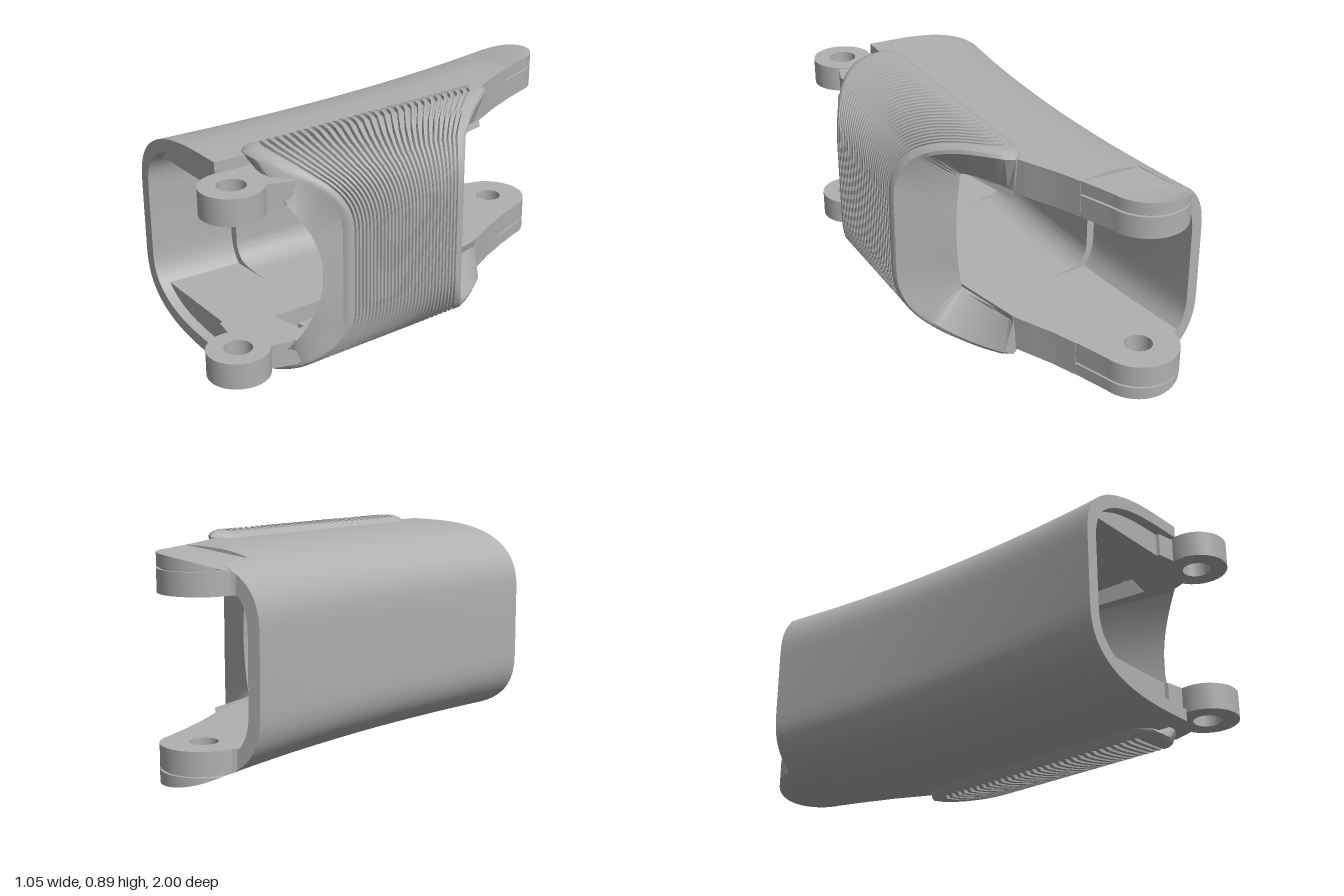
import * as THREE from 'three';
import { toCreasedNormals } from 'three/addons/utils/BufferGeometryUtils.js';

const grey = new THREE.MeshStandardMaterial({ color: 0xb0b0b0, side: THREE.DoubleSide });
grey.name = 'plain grey';

const MID = 0.45; // height of the mirror plane

// Piecewise-linear lookup in a list of [key, value] pairs with rising keys
function lookup(list, k) {
  if (k <= list[0][0]) return list[0][1];
  for (let i = 1; i < list.length; i++) {
    const [k0, v0] = list[i - 1], [k1, v1] = list[i];
    if (k <= k1) return v0 + (v1 - v0) * (k - k0) / (k1 - k0);
  }
  return list[list.length - 1][1];
}

// Skin over rows of points, optionally closed along or across the rows
function skin(rows, closeRow, closeRows) {
  const n = rows[0].length, m = rows.length, idx = [];
  for (let i = 0; i < (closeRows ? m : m - 1); i++) {
    for (let j = 0; j < (closeRow ? n : n - 1); j++) {
      const i2 = (i + 1) % m, j2 = (j + 1) % n;
      const a = i * n + j, b = i2 * n + j, c = i * n + j2, d = i2 * n + j2;
      idx.push(a, b, c, b, d, c);
    }
  }
  const g = new THREE.BufferGeometry();
  g.setAttribute('position', new THREE.Float32BufferAttribute(rows.flat(2), 3));
  g.setIndex(idx);
  return toCreasedNormals(g, 0.6);
}

// ---- Hollow C-shaped shell, swept from front to back ----
const SQUARE = 2.7; // squareness of the shell's corners
const leftEdge = z => { const u = (z + 0.87) / 1.6; return -0.27 - 0.04 * u - 0.215 * u * u; };
const cornerWidth = z => 0.5 - 0.05 * (0.73 - z) / 1.6;
const RIGHT = [[-0.87, 0.16], [-0.8, 0.165], [-0.6, 0.205], [-0.43, 0.255], [-0.3, 0.27],
  [-0.13, 0.25], [0, 0.185], [0.64, 0.06], [0.73, 0.04]];

// Half height of the shell's skin, at a distance from its left edge
function halfHeight(d, a, wall) {
  const u = Math.min(1, Math.max(0, (a - d) / (a - wall)));
  return 0.13 + (0.29 - wall) * Math.pow(1 - Math.pow(u, SQUARE), 1 / SQUARE);
}

function shellRow(z, kind) {
  const xl = leftEdge(z), slope = 0.2 * (z + 0.87) / 1.6;
  const D = (kind === 'tail' ? -0.1 : lookup(RIGHT, z)) - xl;
  const a = cornerWidth(z), N = 18;
  const corner = (wall, t) => {
    const d = Math.min(wall + (a - wall) * (1 - Math.pow(Math.cos(t), 2 / SQUARE)), D);
    return [d, halfHeight(d, a, wall)];
  };
  const outer = [], inner = [];
  for (let i = 0; i <= N; i++) {
    const t = Math.min(i / N * Math.PI / 2, Math.PI / 2 - 1e-6);
    outer.push(corner(0, t));
    if (kind === 'thick') inner.push([0.085 + 0.1 * (1 - Math.cos(t)), 0.175 + 0.1 * Math.sin(t)]);
    else {
      const p = corner(0.05, t);
      inner.push([p[0], kind === 'lip' ? p[1] : Math.min(p[1], 0.275)]);
    }
  }
  outer.push([D, outer[N][1]]);
  inner.push([D, inner[N][1]]);
  const whole = half => [...half.slice().reverse().map(([d, h]) => [xl + d, MID + h, z + slope * d]),
    ...half.map(([d, h]) => [xl + d, MID - h, z + slope * d])];
  return { outer: whole(outer), inner: whole(inner).reverse() };
}

function shellGeometry() {
  const zones = [[0.73, 0.69, 'lip', 2], [0.69, 0.39, 'slab', 6], [0.39, -0.3, 'thick', 12],
    [-0.3, -0.7, 'slab', 8], [-0.7, -0.87, 'tail', 4]];
  const st = [];
  for (const [z0, z1, kind, n] of zones)
    for (let i = 0; i <= n; i++) st.push(shellRow(z0 + (z1 - z0) * i / n, kind));
  const cap = r => [...r.outer, ...r.outer.slice().reverse()];
  const rows = st.map(r => [...r.outer, ...r.inner]);
  return skin([cap(st[0]), ...rows, cap(st[st.length - 1])], true, false);
}

// ---- Ribbed grip pad wrapping the open side ----
const FRONT = [[0.1, 0.64], [0.13, 0.685], [0.16, 0.71], [0.22, 0.725], [0.28, 0.73], [0.34, 0.72],
  [0.4, 0.695], [0.44, 0.665], [0.48, 0.62], [0.525, 0.56]];
const BACK = [[0.1, -0.36], [0.16, -0.415], [0.2, -0.43], [0.27, -0.335], [0.35, -0.215],
  [0.44, -0.09], [0.525, 0]];

function padGeometry() {
  const C = 0.4475, half = [[0.1, 0.4], [0.125, 0.425], [0.155, 0.441]], K = 24;
  for (let i = 0; i <= K; i++) {
    const t = i / K * Math.PI / 2;
    half.push([0.185 + 0.34 * Math.pow(Math.max(0, Math.sin(t)), 0.8),
      0.1475 + 0.3 * Math.pow(Math.max(0, Math.cos(t)), 0.8)]);
  }
  half.push([0.525, 0.07]);
  const prof = [...half, ...half.slice().reverse().map(([w, h]) => [w, -h])];
  const normal = prof.map((p, i) => {
    const a = prof[Math.max(0, i - 1)], b = prof[Math.min(prof.length - 1, i + 1)];
    const dx = b[0] - a[0], dy = b[1] - a[1], l = Math.hypot(dx, dy) || 1;
    return [-dy / l, dx / l];
  });
  // t runs from the back end to the front end, sink is the depth below the surface
  const outerRow = (t, sink, groove) => prof.map(([w, h], i) => {
    const s = groove && w < 0.184 ? 0 : sink;
    const z = lookup(BACK, w) + (lookup(FRONT, w) - lookup(BACK, w)) * t;
    return [w - normal[i][0] * s - 0.183 * z, C + h - normal[i][1] * s, z];
  });
  const innerRow = front => prof.map(([w, h]) => {
    const q = h / C, q2 = q * q;
    if (front) return [0.37 - 0.08 * q2, C + 0.29 * q, 0.63 + 0.1 * q2];
    const f = Math.min(1, Math.max(0, (0.4 - w) / 0.2)); // follows the edge towards the ear
    return [0.32 - 0.03 * q2 - 0.03 * f, C + 0.29 * q, -0.13 - 0.28 * f];
  });
  const rows = [innerRow(false), outerRow(0, 0.02), outerRow(0.012, 0.007), outerRow(0.035, 0)];
  const ribs = 30;
  for (let r = 0; r < ribs; r++)
    for (const [f, depth] of [[0, 0], [0.5, 0], [0.58, 0.015], [0.92, 0.015]])
      rows.push(outerRow(0.06 + 0.88 * (r + f) / ribs, depth, true));
  rows.push(outerRow(0.94, 0), outerRow(0.965, 0), outerRow(0.988, 0.007), outerRow(1, 0.02), innerRow(true));
  return skin(rows, false, true);
}

// ---- Flat plates, drawn in plan as [x, z] ----
function planShape(points, hole) {
  const shape = new THREE.Shape(points.map(([x, z]) => new THREE.Vector2(x, -z)));
  if (hole) shape.holes.push(new THREE.Path(hole.map(([x, z]) => new THREE.Vector2(x, -z))));
  return shape;
}
function circle(cx, cz, r, from = 0, to = Math.PI * 2, n = 32) {
  return Array.from({ length: n + 1 }, (_, i) => {
    const a = from + (to - from) * i / n;
    return [cx + r * Math.cos(a), cz - r * Math.sin(a)];
  });
}

export function createModel() {
  const model = new THREE.Group();
  model.name = 'hingedSegment';
  const add = (geometry, name) => {
    const mesh = new THREE.Mesh(geometry, grey);
    mesh.name = name;
    model.add(mesh);
  };
  // A plate between two heights, plus its mirror image at the top;
  // a fitted plate keeps inside the curved skin of the shell
  const platePair = (points, hole, y0, y1, name, fitted = false) => {
    for (const [side, base] of [['lower', y0], ['upper', 2 * MID - y1]]) {
      const g = new THREE.ExtrudeGeometry(planShape(points, hole), { depth: y1 - y0, bevelEnabled: false });
      g.rotateX(-Math.PI / 2).translate(0, base, 0);
      const p = g.attributes.position;
      for (let i = 0; fitted && i < p.count; i++) {
        const z = Math.max(-0.87, p.getZ(i));
        const h = halfHeight(p.getX(i) - leftEdge(z), cornerWidth(z), 0);
        p.setY(i, THREE.MathUtils.clamp(p.getY(i), MID - h, MID + h));
      }
      add(toCreasedNormals(g, 0.6), side + name);
    }
  };

  add(shellGeometry(), 'shell');
  add(padGeometry(), 'ribbedGrip');

  // Inner plates behind the grip, with a pocket
  const floor = [[-0.02, 0.8], [0.05, 0.825], [0.24, 0.79], [0.29, 0.7], [0.3, 0],
    [0.3, -0.13], [0.285, -0.2], [0.27, -0.3], [0.1, -0.2], [-0.02, 0.3]];
  const pocket = [[0.095, 0.62], [0.23, 0.62], [0.27, 0.03], [0.205, 0.03]];
  platePair(floor, null, 0.075, 0.1, 'PocketFloor');
  platePair(floor, pocket, 0.1, 0.175, 'InnerPlate');
  platePair([[0.15, 0.55], [0.18, 0.55], [0.24, 0.12], [0.21, 0.12]], null, 0.1, 0.135, 'GripClip');

  // Front hinge rings
  platePair(circle(0.165, 0.877, 0.122), circle(0.165, 0.877, 0.055), 0.07, 0.175, 'HingeRing');

  // Rear hinge ears: solid outer layer, recessed seam, inner layer with a blind hole
  const ear = (r, inset) => [[0.183 - inset, -0.69], [0.166 - inset, -0.8],
    ...circle(0, -0.84, r, 0, Math.PI * 0.86, 28),
    [-0.155, -0.88], [-0.17, -0.87], [-0.105, -0.868], [-0.107, -0.78], [-0.11, -0.69]];
  const pin = circle(0, -0.84, 0.055);
  platePair(ear(0.16, 0), null, 0.03, 0.08, 'EarOuter', true);
  platePair(ear(0.148, 0.012), pin, 0.08, 0.088, 'EarSeam', true);
  platePair(ear(0.16, 0), pin, 0.088, 0.175, 'EarInner', true);

  return model;
}
